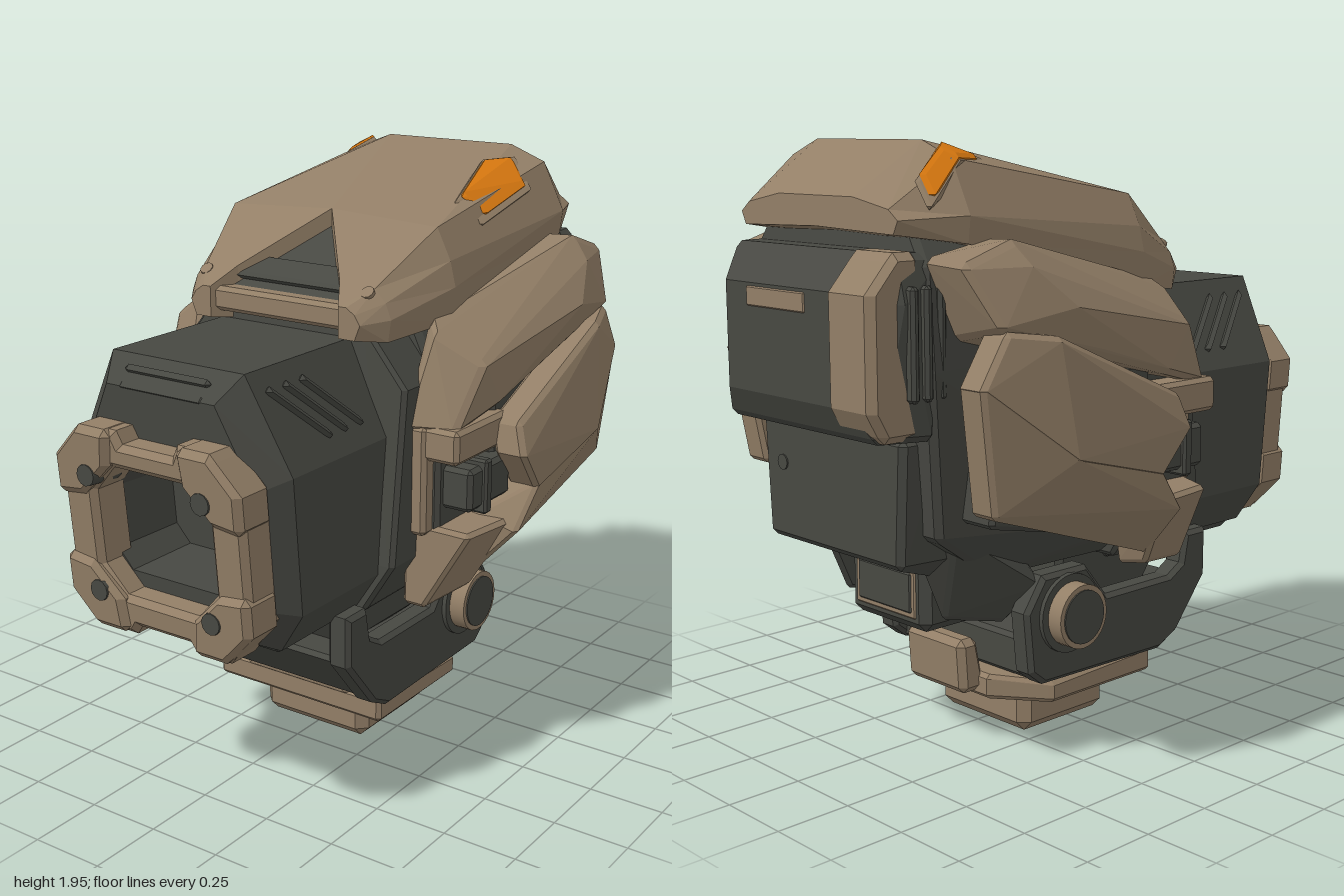
import * as THREE from 'three';
import { ConvexGeometry } from 'three/addons/geometries/ConvexGeometry.js';

export function createModel() {
  const root = new THREE.Group();
  const paint = (name, color) => Object.assign(new THREE.MeshStandardMaterial({ color }), { name });
  const tan = paint('tan armour', 0x937f67);
  const dark = paint('dark metal', 0x474842);
  const orange = paint('orange lamp', 0xdb7a10);

  const add = (name, mat, geo) => {
    const mesh = new THREE.Mesh(geo, mat);
    mesh.name = name;
    root.add(mesh);
    return mesh;
  };
  const flip = pts => pts.map(([x, y, z]) => [-x, y, z]);

  // Convex block whose corners are chamfered by r
  const hull = (name, mat, pts, r = 0.014) => {
    const v = [];
    for (const [x, y, z] of pts) {
      for (const s of [-r, r]) {
        v.push(new THREE.Vector3(x + s, y, z), new THREE.Vector3(x, y + s, z), new THREE.Vector3(x, y, z + s));
      }
    }
    return add(name, mat, new ConvexGeometry(v));
  };
  const centred = (name, mat, pts, r) => hull(name, mat, [...pts, ...flip(pts)], r);
  const pair = (name, mat, pts, r) => {
    hull(name + 'Left', mat, pts, r);
    hull(name + 'Right', mat, flip(pts), r);
  };
  const block = (name, mat, [x0, x1], [y0, y1], [z0, z1], r = 0.014) => {
    const pts = [];
    for (const x of [x0 + r, x1 - r]) for (const y of [y0 + r, y1 - r]) for (const z of [z0 + r, z1 - r]) pts.push([x, y, z]);
    return hull(name, mat, pts, r);
  };
  // Plate of even thickness grown inward from an outer face
  const plate = (name, mat, face, t, r) => pair(name, mat, [...face, ...face.map(([x, y, z]) => [x - t, y, z])], r);

  // Flat-shaded skin over matching cross-sections, closed at both ends
  const dist = (a, b) => Math.hypot(a[0] - b[0], a[1] - b[1], a[2] - b[2]);
  const loft = (name, mat, sections) => {
    const n = sections[0].length;
    let area = 0;
    sections[0].forEach((p, j) => {
      const q = sections[0][(j + 1) % n];
      area += p[0] * q[1] - q[0] * p[1];
    });
    const s = area < 0 ? sections.map(a => [...a].reverse()) : sections;
    const out = [];
    const tri = (a, b, c) => out.push(...a, ...b, ...c);
    for (let i = 0; i + 1 < s.length; i++) {
      for (let j = 0; j < n; j++) {
        const k = (j + 1) % n;
        const a = s[i][j], b = s[i][k], c = s[i + 1][k], d = s[i + 1][j];
        // Split along the shorter diagonal so mirrored halves match
        if (dist(a, c) < dist(b, d)) { tri(a, b, c); tri(a, c, d); } else { tri(a, b, d); tri(b, c, d); }
      }
    }
    const first = s[0], last = s[s.length - 1];
    for (let j = 1; j + 1 < n; j++) {
      tri(first[0], first[j + 1], first[j]);
      tri(last[0], last[j], last[j + 1]);
    }
    const g = new THREE.BufferGeometry();
    g.setAttribute('position', new THREE.Float32BufferAttribute(out, 3));
    g.computeVertexNormals();
    return add(name, mat, g);
  };

  // Core body and collar
  centred('coreBody', dark, [
    [0.42, 0.72, 0.1], [0.30, 0.62, 0.1], [0.42, 1.35, 0.1], [0.34, 1.52, 0.1],
    [0.38, 1.66, -0.6], [0.34, 1.69, -0.79], [0.40, 1.6, -0.8], [0.42, 1.3, -0.8], [0.38, 0.8, -0.74], [0.28, 0.62, -0.45],
  ], 0.02);
  centred('collar', dark, [0.34, 0.05].flatMap(z => [
    [0.30, 1.49, z - 0.06], [0.44, 1.32, z - 0.06], [0.44, 0.76, z], [0.34, 0.6, z],
  ]));
  plate('flankBlock', dark, [[0.56, 0.95, -0.05], [0.56, 1.25, -0.05], [0.56, 1.3, -0.62], [0.52, 0.85, -0.66], [0.5, 0.75, -0.2]], 0.14);

  // Hollow eight-sided barrel with a leaning front
  const lean = (y, z) => z + (y - 0.93) * 0.09;
  const oct = [[0.25, 1.46], [0.40, 1.17], [0.40, 0.73], [0.31, 0.59]];
  const ring8 = (sx, sy, z) => [...oct, ...flip(oct).reverse()].map(([x, y]) => {
    const yy = 0.93 + (y - 0.93) * sy;
    return [x * sx, yy, lean(yy, z)];
  });
  loft('barrel', dark, [ring8(1, 1, 0.15), ring8(1, 1, 0.77), ring8(0.82, 0.85, 0.86), ring8(0.58, 0.46, 0.86), ring8(0.55, 0.44, 0.6)]);
  centred('barrelChin', dark, [[0.27, 0.58, 0.7], [0.31, 0.66, 0.73], [0.31, 0.7, 0.1], [0.27, 0.58, 0.1]], 0.02);
  centred('underBox', dark, [[0.22, 0.43, 0.3], [0.24, 0.6, 0.4], [0.22, 0.43, -0.1], [0.24, 0.6, -0.1]], 0.02);
  for (let i = 0; i < 3; i++) {
    const z = 0.75 - i * 0.08;
    pair('sideVent' + i, dark, [[0.285, 1.4, z], [0.365, 1.24, z - 0.18]], 0.016);
  }
  for (const [y, z] of [[1.425, 0.86], [1.38, 0.89]]) centred('topVent', dark, [[0.15, y, z]], 0.014);

  // Muzzle frame with corner pads and bolts
  const frame = new THREE.Shape([
    [-0.33, -0.2], [-0.24, -0.32], [-0.13, -0.32], [-0.11, -0.29], [0.11, -0.29], [0.13, -0.32], [0.24, -0.32], [0.33, -0.2],
    [0.33, 0.2], [0.24, 0.31], [0.13, 0.31], [0.11, 0.27], [-0.11, 0.27], [-0.13, 0.31], [-0.24, 0.31], [-0.33, 0.2],
  ].map(p => new THREE.Vector2(...p)));
  frame.holes.push(new THREE.Path([
    [-0.24, -0.13], [-0.24, 0.13], [-0.15, 0.23], [0.15, 0.23], [0.24, 0.13], [0.24, -0.13], [0.15, -0.23], [-0.15, -0.23],
  ].map(p => new THREE.Vector2(...p))));
  const frameGeo = new THREE.ExtrudeGeometry(frame, { depth: 0.11, bevelSize: 0.02, bevelThickness: 0.02, bevelSegments: 1 });
  frameGeo.translate(0, 0.935, 0.82);
  const fp = frameGeo.attributes.position;
  for (let i = 0; i < fp.count; i++) fp.setZ(i, lean(fp.getY(i), fp.getZ(i)));
  frameGeo.computeVertexNormals();
  add('muzzleFrame', tan, frameGeo);
  const pad = [[0.15, 0.31], [0.25, 0.31], [0.335, 0.22], [0.335, 0.12], [0.25, 0.13], [0.16, 0.22]];
  for (const sy of [1, -1]) {
    pair('muzzlePad' + (sy > 0 ? 'Top' : 'Bottom'), tan, [0.84, 0.95].flatMap(z => pad.map(([x, y]) =>
      [x, 0.935 + sy * y, lean(0.935 + sy * y, z)])), 0.022);
    for (const sx of [1, -1]) {
      const y = 0.925 + sy * 0.19;
      const bolt = add('muzzleBolt', dark, new THREE.CylinderGeometry(0.034, 0.042, 0.12, 12));
      bolt.rotation.x = Math.PI / 2;
      bolt.position.set(sx * 0.22, y, lean(y, 0.918));
    }
  }

  // Top shell: two halves parting into a notch at the front
  const half = [
    [-0.88, [[0, 1.70], [0, 1.79], [0.18, 1.79], [0.34, 1.76], [0.38, 1.73], [0.36, 1.69]]],
    [-0.68, [[0, 1.66], [0, 1.95], [0.25, 1.95], [0.38, 1.90], [0.46, 1.74], [0.45, 1.66]]],
    [0.04, [[0, 1.50], [0, 1.80], [0.40, 1.78], [0.45, 1.68], [0.47, 1.60], [0.46, 1.49]]],
    [0.28, [[0.20, 1.46], [0.20, 1.63], [0.33, 1.62], [0.37, 1.58], [0.39, 1.53], [0.38, 1.46]]],
    [0.36, [[0.25, 1.47], [0.25, 1.57], [0.28, 1.57], [0.31, 1.55], [0.33, 1.52], [0.31, 1.47]]],
  ];
  for (const s of [1, -1]) {
    loft(s > 0 ? 'topShellLeft' : 'topShellRight', tan, half.map(([z, pts]) => pts.map(([x, y]) => [s * x, y, z])));
  }
  centred('notchFloor', dark, [[0, 1.74, 0.03], [0.24, 1.56, 0.29], [0, 1.5, 0.0], [0.24, 1.5, 0.29]], 0.01);
  centred('notchBar', dark, [[0.17, 1.64, 0.2], [0.21, 1.60, 0.27]], 0.012);
  block('brow', tan, [-0.3, 0.3], [1.49, 1.57], [0.26, 0.345]);
  for (const s of [1, -1]) {
    const screw = add('shellScrew', tan, new THREE.CylinderGeometry(0.022, 0.022, 0.012, 10));
    screw.position.set(s * 0.315, 1.608, 0.295);
    screw.rotation.x = 0.7;
  }

  // Lamps set in raised bezels
  const lamp = (name, pts) => {
    const c = [0, 1, 2].map(i => pts.reduce((t, p) => t + p[i], 0) / pts.length);
    hull(name + 'Bezel', tan, pts.map(p => p.map((v, i) => c[i] + (v - c[i]) * 1.25 - (i === 1 ? 0.012 : 0))), 0.01);
    hull(name, orange, pts, 0.014);
  };
  lamp('sideLamp', [[0.32, 1.91, -0.55], [0.40, 1.845, -0.49], [0.408, 1.79, -0.23], [0.35, 1.84, -0.2], [0.28, 1.91, -0.45]]);
  lamp('rearLamp', [
    [-0.395, 1.80, -0.765], [-0.355, 1.855, -0.765], [-0.345, 1.92, -0.69], [-0.315, 1.93, -0.66],
    [-0.34, 1.895, -0.56], [-0.375, 1.90, -0.66],
  ]);

  // Shoulder armour on both sides
  pair('shoulderPlate', tan, [
    [0.44, 1.20, 0.24], [0.57, 1.20, 0.19], [0.60, 1.38, 0.09], [0.47, 1.46, 0.14], [0.44, 1.49, 0.11],
    [0.44, 1.65, -0.6], [0.54, 1.655, -0.6], [0.59, 1.60, -0.58], [0.645, 1.48, -0.45], [0.61, 1.44, -0.7],
    [0.54, 1.6, -0.77], [0.42, 1.61, -0.79], [0.42, 1.4, -0.7], [0.61, 1.34, -0.3], [0.60, 1.25, 0],
  ], 0.02);
  plate('outerPanelUpper', tan, [
    [0.70, 1.08, -0.01], [0.67, 1.17, -0.03], [0.67, 1.39, -0.54], [0.62, 1.41, -0.69],
    [0.62, 1.27, -0.78], [0.705, 1.05, -0.5], [0.69, 0.95, -0.12],
  ], 0.08, 0.016);
  plate('outerPanelLower', tan, [
    [0.69, 0.95, -0.12], [0.675, 0.82, -0.02], [0.705, 1.05, -0.5], [0.62, 1.27, -0.78],
    [0.60, 0.90, -0.72], [0.57, 0.83, -0.5], [0.53, 0.66, 0], [0.56, 0.86, 0],
  ], 0.08, 0.014);
  pair('cheek', tan, [
    [0.42, 0.6, 0.21], [0.48, 0.6, 0.21], [0.61, 0.84, 0.17], [0.42, 0.86, 0.21],
    [0.42, 0.6, 0.01], [0.52, 0.62, 0.01], [0.64, 0.84, -0.04], [0.42, 0.86, -0.04],
  ]);

  // Latch bays in front of the outer panels
  for (const s of [1, -1]) {
    const span = (a, b) => (s > 0 ? [a, b] : [-b, -a]);
    block('latchBack', dark, span(0.40, 0.52), [0.84, 1.24], [-0.15, 0.2]);
    block('latchTop', tan, span(0.42, 0.61), [1.09, 1.2], [-0.08, 0.24]);
    block('latchPost', tan, span(0.42, 0.5), [0.84, 1.2], [0.18, 0.25]);
    block('latchClip', dark, span(0.5, 0.62), [0.92, 1.06], [-0.08, 0.17]);
    block('latchPin', dark, span(0.53, 0.635), [0.9, 1.08], [0.06, 0.1], 0.008);
  }

  // Rear housings
  centred('rearHousing', dark, [
    [0.39, 1.62, -0.74], [0.37, 1.62, -0.89], [0.30, 1.53, -0.98], [0.30, 1.2, -0.98],
    [0.35, 1.12, -0.94], [0.40, 1.12, -0.8], [0.40, 1.5, -0.89],
  ], 0.02);
  hull('rearCornerPad', tan, [-0.38, -0.22].flatMap(x => [
    [x, 1.62, -0.84], [x, 1.62, -0.9], [x, 1.53, -0.98], [x, 1.2, -0.98], [x, 1.13, -0.94], [x, 1.13, -0.84],
  ]), 0.024);
  for (let i = 0; i < 3; i++) block('rearRib', dark, [-0.44, -0.40], [1.22, 1.55], [-0.78 - i * 0.05, -0.75 - i * 0.05], 0.01);
  hull('wornPatch', tan, [[0.375, 1.54, -0.92], [0.41, 1.45, -0.90], [0.41, 1.2, -0.87], [0.375, 1.16, -0.92]], 0.012);
  block('wornStreak', tan, [-0.1, 0.19], [1.46, 1.52], [-1.004, -0.99], 0.004);
  centred('rearLowerHousing', dark, [
    [0.33, 1.08, -0.7], [0.33, 1.08, -0.83], [0.31, 0.72, -0.83], [0.28, 0.70, -0.6], [0.2, 0.62, -0.55],
  ], 0.02);
  const rivet = add('rearRivet', dark, new THREE.CylinderGeometry(0.025, 0.025, 0.02, 12));
  rivet.rotation.x = Math.PI / 2;
  rivet.position.set(0.24, 0.95, -0.845);
  block('rearPort', dark, [-0.19, 0.19], [0.43, 0.72], [-0.64, -0.38], 0.03);
  block('rearPortFrame', tan, [-0.15, 0.15], [0.47, 0.64], [-0.645, -0.6], 0.008);
  block('rearPortInset', dark, [-0.13, 0.13], [0.49, 0.62], [-0.65, -0.62], 0.005);
  pair('rearStrut', dark, [[0.26, 0.45, -0.38], [0.34, 0.56, -0.3], [0.26, 0.7, -0.35], [0.34, 0.78, -0.64], [0.24, 0.68, -0.68], [0.24, 0.5, -0.6]]);

  // Yoke: two cranked arms joined by a bridge
  const arm = new THREE.Shape([
    [0.47, 0.6], [0.47, 0.45], [0.33, 0.28], [0.25, 0.24], [-0.3, 0.25], [-0.35, 0.29], [-0.37, 0.48], [-0.3, 0.58],
    [-0.12, 0.58], [-0.02, 0.46], [0.3, 0.46], [0.37, 0.5], [0.39, 0.6],
  ].map(p => new THREE.Vector2(...p)));
  for (const s of [1, -1]) {
    const g = new THREE.ExtrudeGeometry(arm, { depth: 0.055, bevelSize: 0.015, bevelThickness: 0.015, bevelSegments: 1 });
    g.rotateY(-Math.PI / 2);
    g.translate(s > 0 ? 0.365 : -0.31, 0, 0);
    add('yokeArm', dark, g);
    // Pivot drums
    for (const [name, mat, r, x, len] of [['pivotBoss', dark, 0.13, 0.38, 0.03], ['pivotDrum', tan, 0.105, 0.415, 0.07], ['pivotCap', dark, 0.088, 0.45, 0.01]]) {
      const c = add(name, mat, new THREE.CylinderGeometry(r, r, len, 28));
      c.rotation.z = Math.PI / 2;
      c.position.set(s * x, 0.455, -0.2);
    }
  }
  centred('yokeBridge', dark, [[0.33, 0.43, 0.43], [0.33, 0.27, 0.3], [0.33, 0.25, -0.3], [0.33, 0.36, -0.3], [0.33, 0.43, 0.3]]);

  // Base plate and foot
  centred('basePlate', tan, [
    [0.325, 0.155, 0.235], [0.325, 0.215, 0.235], [0.325, 0.155, -0.22], [0.325, 0.2, -0.22], [0.18, 0.165, -0.36], [0.18, 0.22, -0.36],
  ]);
  centred('basePlateRise', tan, [[0.2, 0.22, 0.24], [0.16, 0.27, 0.25], [0.2, 0.22, 0], [0.16, 0.27, 0]]);
  hull('baseRearTab', tan, [-0.12, 0.12].flatMap(x => [[x, 0.19, -0.36], [x, 0.33, -0.39], [x, 0.33, -0.43], [x, 0.19, -0.42]]), 0.022);
  block('foot', tan, [-0.215, 0.215], [0, 0.17], [-0.24, 0.16], 0.035);

  return root;
}
